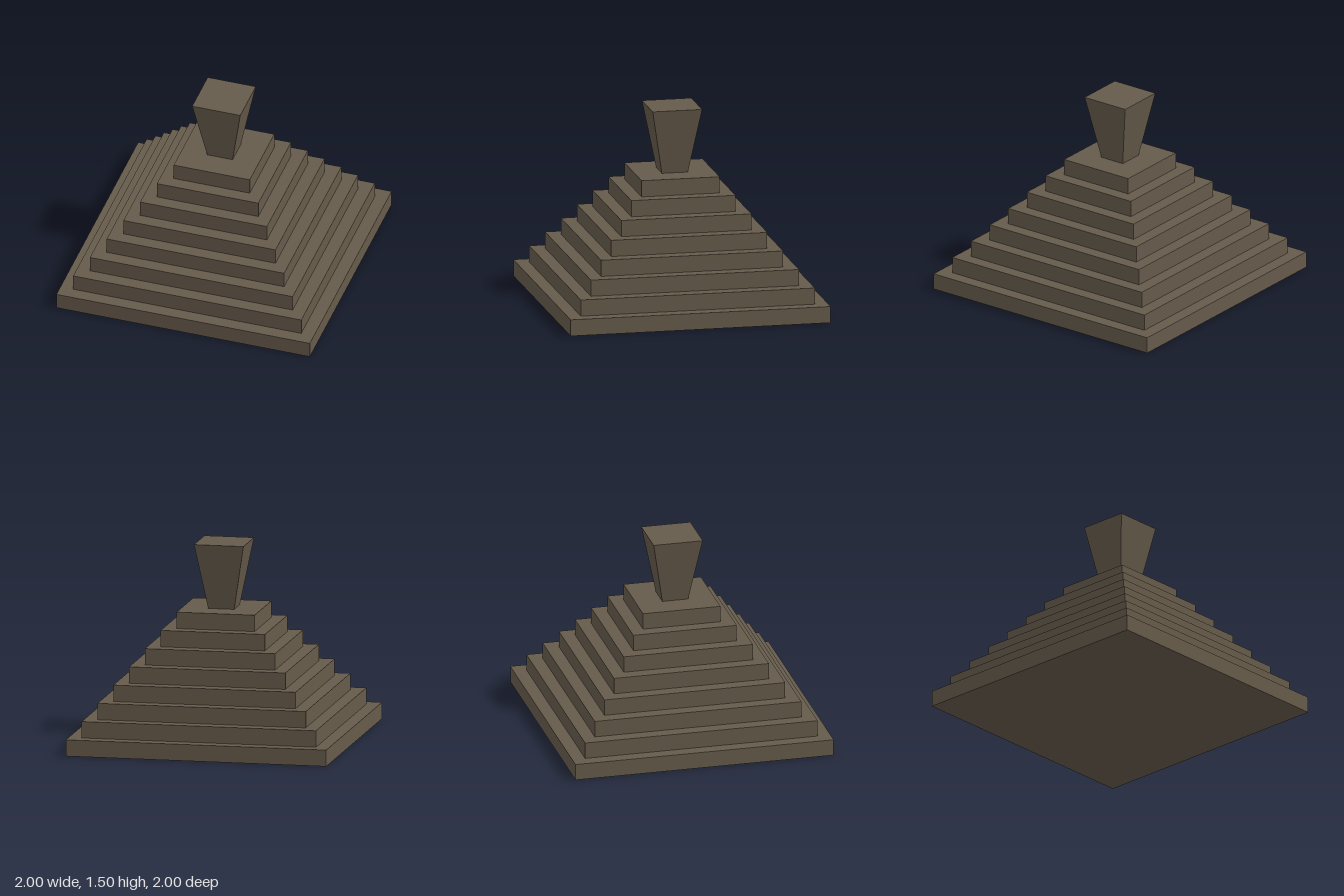
import * as THREE from 'three';

export function createModel() {
  const model = new THREE.Group();
  model.name = 'steppedPyramid';
  const stone = new THREE.MeshStandardMaterial({ color: 0x665b4b });
  stone.name = 'brown stone';

  // Eight square tiers, each stepping in by 0.1 on every side
  const tiers = 8;
  const tierHeight = 1 / tiers;
  for (let i = 0; i < tiers; i++) {
    const width = 2 - 0.2 * i;
    const tier = new THREE.Mesh(new THREE.BoxGeometry(width, tierHeight, width), stone);
    tier.name = `tier${i + 1}`;
    tier.position.y = (i + 0.5) * tierHeight;
    model.add(tier);
  }

  // Square pillar flaring outward to a flat top
  const bottomHalf = 0.1, topHalf = 0.19, pillarHeight = 0.5;
  const geometry = new THREE.BoxGeometry(2, pillarHeight, 2);
  const p = geometry.attributes.position;
  for (let i = 0; i < p.count; i++) {
    const half = p.getY(i) > 0 ? topHalf : bottomHalf;
    p.setX(i, p.getX(i) * half);
    p.setZ(i, p.getZ(i) * half);
  }
  geometry.computeVertexNormals();
  const pillar = new THREE.Mesh(geometry, stone);
  pillar.name = 'flaredPillar';
  pillar.position.y = 1 + pillarHeight / 2;
  model.add(pillar);

  return model;
}
